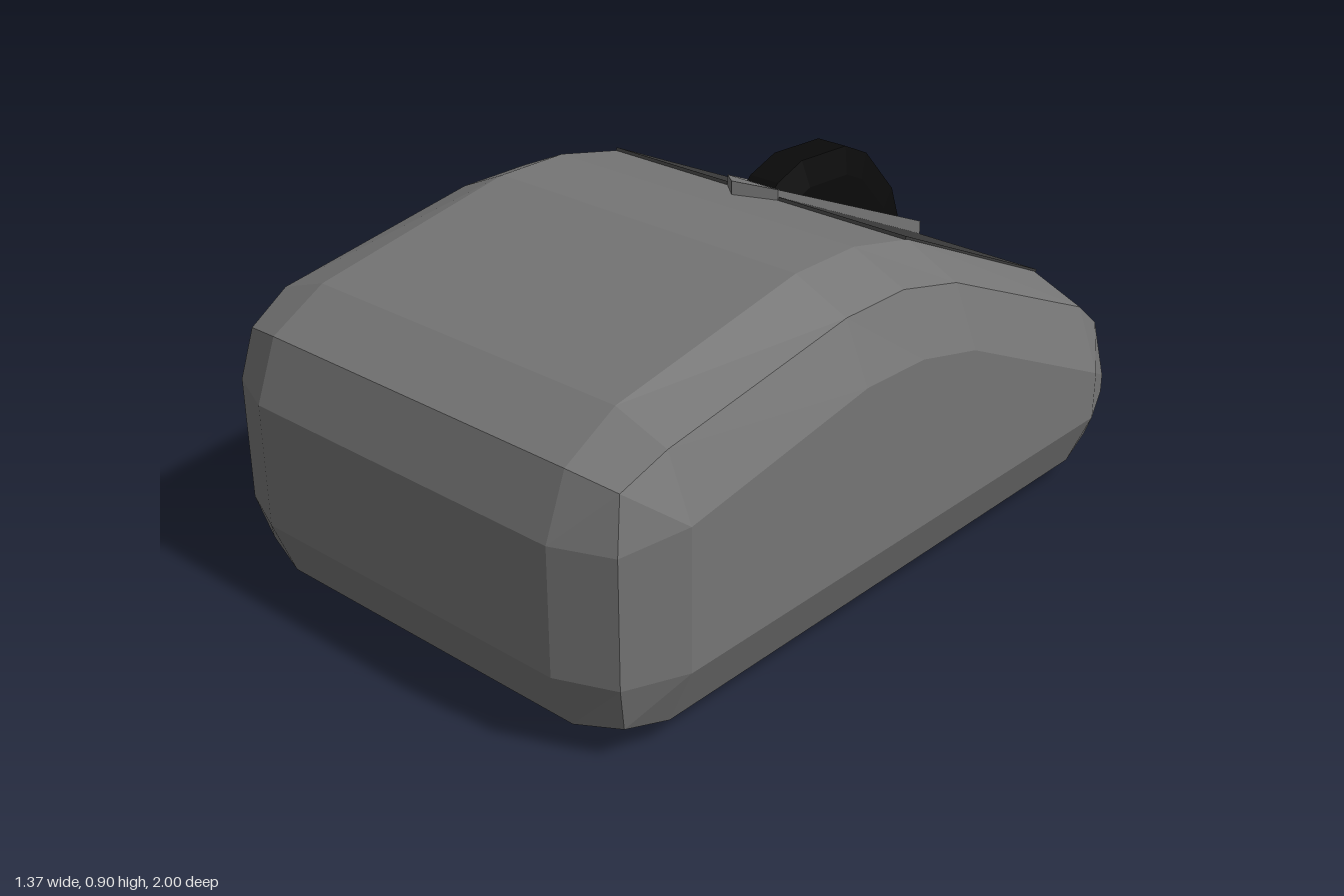
import * as THREE from 'three';

const mat = (name, color) => {
  const m = new THREE.MeshStandardMaterial({ color, flatShading: true });
  m.name = name;
  return m;
};

// Bevelled shell: side profiles [z, y] at three widths, mirrored across x
function shellGeometry() {
  const outer = [[-.79, 0], [.79, 0], [.94, .06], [1, .21], [1, .53], [.94, .685], [.79, .77], [.21, .88],
    [0, .88], [-.21, .835], [-.79, .57], [-.94, .44], [-1, .26], [-1, .21], [-.94, .06]];
  const middle = [[-.79, .06], [.79, .06], [.91, .09], [.94, .21], [.94, .53], [.91, .66], [.79, .72], [.21, .815],
    [0, .815], [-.21, .765], [-.79, .51], [-.91, .42], [-.94, .26], [-.94, .21], [-.91, .09]];
  const fl = [.79, .21], ft = [.79, .565], bt = [-.79, .34], bl = [-.79, .21];
  const inner = [bl, fl, fl, fl, ft, ft, ft, [.21, .665], [0, .66], [-.21, .61], bt, bt, bt, bl, bl];
  const corners = [2, 5, 11, 14];
  const ring = (profile, x, cornerX = x) => profile.map(([z, y], i) =>
    new THREE.Vector3(corners.includes(i) ? cornerX : x, y, z));
  const rings = [ring(inner, -.685), ring(middle, -.62, -.6), ring(outer, -.475),
    ring(outer, .475), ring(middle, .62, .6), ring(inner, .685)];

  const pos = [];
  const tri = (a, b, c) => {
    if (a.equals(b) || b.equals(c) || a.equals(c)) return;
    for (const v of [a, b, c]) pos.push(v.x, v.y, v.z);
  };
  const n = outer.length;
  for (let i = 0; i < n; i++) {
    const k = (i + 1) % n;
    for (let j = 0; j < rings.length - 1; j++) {
      const a = rings[j][i], b = rings[j][k], c = rings[j + 1][k], d = rings[j + 1][i];
      tri(a, d, c);
      tri(a, c, b);
    }
    // flat side caps
    tri(new THREE.Vector3(-.685, .4, 0), rings[0][i], rings[0][k]);
    tri(new THREE.Vector3(.685, .4, 0), rings[5][k], rings[5][i]);
  }
  const g = new THREE.BufferGeometry();
  g.setAttribute('position', new THREE.Float32BufferAttribute(pos, 3));
  g.computeVertexNormals();
  return g;
}

// Pointed strip that follows the sloping top
function housingGeometry() {
  const outline = [[0, .89], [-.083, .82], [-.083, .2], [0, .12], [.083, .2], [.083, .82]];
  const shape = new THREE.Shape(outline.map(([x, y]) => new THREE.Vector2(x, y)));
  const g = new THREE.ExtrudeGeometry(shape, { depth: .045, bevelEnabled: false });
  g.rotateX(-Math.PI / 2);
  const p = g.attributes.position;
  const line = [[-.89, .54], [-.82, .6], [-.2, .865], [-.12, .89]];
  for (let i = 0; i < p.count; i++) {
    const z = p.getZ(i);
    const s = z < -.81 ? 0 : z < -.19 ? 1 : 2;
    const [z0, y0] = line[s], [z1, y1] = line[s + 1];
    p.setY(i, p.getY(i) - .045 + y0 + (y1 - y0) * (z - z0) / (z1 - z0));
  }
  g.computeVertexNormals();
  return g;
}

// Bevelled octagonal wheel, thicker at the hub than at the rim
function wheelGeometry() {
  const pts = [];
  for (let k = 0; k < 8; k++) for (const a of [12, -17]) {
    const t = THREE.MathUtils.degToRad(a - 45 * k);
    pts.push(new THREE.Vector2(-.36 * Math.sin(t), .36 * Math.cos(t)));
  }
  const g = new THREE.ExtrudeGeometry(new THREE.Shape(pts), {
    depth: .09, bevelThickness: .02, bevelSize: .07, bevelOffset: -.07, bevelSegments: 1,
  });
  g.translate(0, 0, -.045);
  g.rotateY(Math.PI / 2);
  return g;
}

export function createModel() {
  const root = new THREE.Group();
  root.name = 'computerMouse';
  const grey = mat('bodyGrey', 0x757575);
  const dark = mat('buttonDark', 0x3a3a3a);
  const black = mat('wheelBlack', 0x0a0a0a);
  const add = (name, geometry, material) => {
    const m = new THREE.Mesh(geometry, material);
    m.name = name;
    root.add(m);
    return m;
  };

  add('body', shellGeometry(), grey);
  add('wheelHousing', housingGeometry(), grey);
  add('scrollWheel', wheelGeometry(), black).position.set(0, .543, -.415);

  // Thin button panels lying on the slope
  const rise = .265, run = .58;
  for (const [name, side] of [['leftButton', 1], ['rightButton', -1]]) {
    const b = add(name, new THREE.BoxGeometry(.39, .009, Math.hypot(run, rise) * 1.03), dark);
    b.position.set(side * .28, .7045, -.5);
    b.rotation.x = -Math.atan2(rise, run);
  }
  return root;
}
